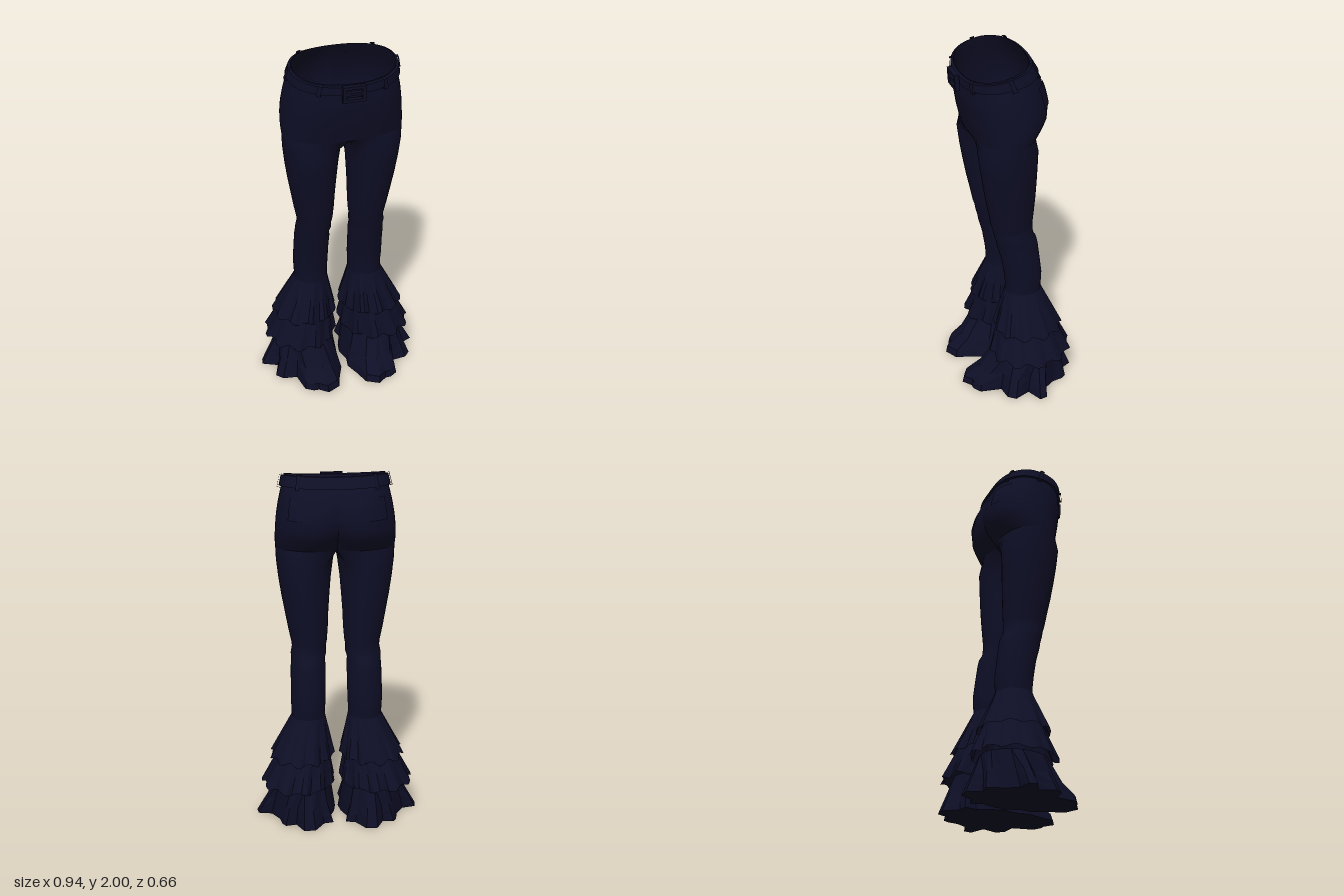
import * as THREE from 'three';

const navy = new THREE.MeshStandardMaterial({ color: 0x0e0e26, side: THREE.DoubleSide });
navy.name = 'navy cloth';

// Skin between rows of points (top row first, columns run front -> left -> back)
function loft(name, rows, { side = 1, closed = false, flat = false } = {}) {
  const n = rows[0].length, pos = [], idx = [];
  rows.forEach(r => r.forEach(p => pos.push(p[0] * side, p[1], p[2])));
  for (let i = 0; i < rows.length - 1; i++) {
    for (let j = 0; j < (closed ? n : n - 1); j++) {
      const k = (j + 1) % n;
      const a = i * n + j, b = i * n + k, c = a + n, d = b + n;
      if (side > 0) idx.push(a, c, b, b, c, d);
      else idx.push(a, b, c, b, d, c);
    }
  }
  let g = new THREE.BufferGeometry();
  g.setAttribute('position', new THREE.Float32BufferAttribute(pos, 3));
  g.setIndex(idx);
  if (flat) g = g.toNonIndexed();
  g.computeVertexNormals();
  const m = new THREE.Mesh(g, navy);
  m.name = name;
  return m;
}

const range = (n, a, b) => Array.from({ length: n + 1 }, (_, i) => a + (b - a) * i / n);

// Hips: y, half width, front z, back z, depth of the rear centre crease
const HIPS = [
  [2.0, .278, .262, -.09, 0], [1.95, .288, .262, -.12, 0], [1.9, .3, .265, -.15, .006],
  [1.83, .315, .268, -.18, .015], [1.75, .327, .262, -.197, .025], [1.68, .333, .25, -.19, .04],
  [1.62, .335, .235, -.15, .045], [1.58, .332, .225, -.118, .04],
];

// Point on the hip surface; angle 90 is the front centre, -90 the back centre
function hipPoint(y, deg, off = 0) {
  let i = 0;
  while (i < HIPS.length - 2 && y < HIPS[i + 1][0]) i++;
  const A = HIPS[i], B = HIPS[i + 1], t = (A[0] - y) / (A[0] - B[0]);
  const [, rx, zf, zb, crease] = A.map((v, k) => v + (B[k] - v) * t);
  const a = deg * Math.PI / 180, s = Math.sin(a), c = Math.max(0, Math.cos(a));
  const x = (rx + off) * Math.pow(c, .85);
  let z = (zf + zb) / 2 + ((zf - zb) / 2 + off) * Math.sign(s) * Math.pow(Math.abs(s), .9);
  if (s < 0) z += crease * Math.exp(-((x / .06) ** 2));
  // the waist dips toward the front
  const dip = .07 * Math.pow(Math.max(0, (z + .09) / .355), 1.5) * Math.max(0, (y - 1.75) / .25);
  return [x, y - dip, z];
}

const patch = (ys, angles, off) => ys.map(y => angles.map(a => hipPoint(y, a, off)));

// Legs: y, inner x, outer x, front z, back z
const LEGS = [
  [1.5, .012, .329, .217, -.113], [1.4, .025, .318, .205, -.11], [1.3, .033, .303, .19, -.108],
  [1.2, .04, .285, .173, -.105], [1.1, .044, .267, .153, -.1], [1.03, .05, .252, .14, -.096],
  [1.0, .056, .248, .13, -.097], [.96, .055, .256, .122, -.1], [.93, .064, .254, .113, -.118],
  [.89, .06, .258, .106, -.127], [.8, .062, .26, .082, -.138], [.7, .063, .262, .066, -.15],
  [.64, .066, .258, .06, -.148], [.59, .067, .258, .06, -.143],
];
const ARC = 28, INNER = 8;

function legRows() {
  const arc = range(ARC, 90, -90).map(a => hipPoint(1.58, a));
  const z0 = arc[0][2], z1 = arc[ARC][2];
  const crotch = range(INNER, z1, z0).slice(1, -1).map(z => [0, 1.58, z]);
  const angles = [...range(ARC, 140, -140), ...range(INNER, -140, -220).slice(1, -1)];
  const rings = LEGS.map(([y, xi, xo, zf, zb]) => angles.map(d => {
    const a = d * Math.PI / 180;
    return [(xi + xo) / 2 + (xo - xi) / 2 * Math.cos(a), y, (zf + zb) / 2 + (zf - zb) / 2 * Math.sin(a)];
  }));
  return [[...arc, ...crotch], ...rings];
}

// Ellipse point inside a box [x0, x1, front z, back z]
const inBox = ([x0, x1, zf, zb], a, r, y) =>
  [(x0 + x1) / 2 + (x1 - x0) / 2 * r * Math.cos(a), y, (zf + zb) / 2 + (zf - zb) / 2 * r * Math.sin(a)];

// Pleated tier with a zigzag, slightly wavy hem
function tierRows(yTop, top, yHem, hem, phase) {
  const n = 44, angles = range(n, Math.PI / 2, -Math.PI * 1.5).slice(0, n);
  const pleat = [1, 1, .91, .93];
  return [0, .5, 1].map(t => angles.map((a, j) => {
    const p = inBox(top, a, 1, yTop);
    const q = inBox(hem, a, pleat[(j + phase) % 4], yHem + .012 * Math.sin(j * 1.43 + phase));
    return p.map((v, k) => v + (q[k] - v) * t);
  }));
}

// Floor hem outline (x, z), front -> outer -> back -> inner
const HEM = [
  [.155, .33], [.205, .29], [.235, .29], [.28, .26], [.3, .14], [.38, .13], [.415, .09], [.38, 0],
  [.468, -.04], [.46, -.085], [.385, -.1], [.34, -.17], [.33, -.23], [.31, -.26], [.25, -.25],
  [.21, -.33], [.145, -.33], [.09, -.25], [.035, -.24], [.05, -.17], [.02, -.1], [.008, -.03],
  [.03, .05], [.02, .12], [.06, .22], [.08, .29],
];

function floorTierRows() {
  const top = HEM.map(([x, z]) => inBox([.04, .35, .13, -.245], Math.atan2(z + .02, x - .2), 1, .22));
  const row = (y, t, front) => HEM.map(([x, z], j) => {
    const p = top[j], k = z > .2 ? front : t;
    return [p[0] + (x - p[0]) * t, y, p[2] + (z - p[2]) * k];
  });
  // last row closes the underside
  return [top, row(.1, .54, .5), row(.04, .82, .95), row(0, 1, 1), HEM.map(() => [.2, 0, 0])];
}

export function createModel() {
  const group = new THREE.Group();
  group.name = 'flared trousers';

  for (const side of [1, -1]) {
    const label = side > 0 ? 'left' : 'right';
    const add = (part, rows, opts = {}) => group.add(loft(label + part, rows, { side, ...opts }));

    // Hips and leg
    add('Hip', patch(range(16, 2.0, 1.58), range(ARC, 90, -90), 0));
    add('Leg', legRows(), { closed: true });

    // Belt: a raised band with turned-in edges
    const angles = range(ARC, 90, -90);
    add('Belt', [[1.99, 0], [1.99, .014], [1.93, .014], [1.93, 0]]
      .map(([y, o]) => angles.map(a => hipPoint(y, a, o))), { flat: true });

    // Belt loops
    for (const a of [58, 0, -50]) {
      const across = range(2, a + 2.5, a - 2.5);
      add('BeltLoop', [[2.0, .005], [1.998, .022], [1.92, .022], [1.915, 0]]
        .map(([y, o]) => across.map(d => hipPoint(y, d, o))), { flat: true });
    }

    // Back pocket
    add('BackPocket', patch([1.88, 1.84, 1.8, 1.76], range(6, -38, -66), .006));

    // Ruffles
    add('UpperRuffle', tierRows(.6, [.066, .259, .062, -.146], .365, [.012, .388, .145, -.262], 0),
      { closed: true, flat: true });
    add('MiddleRuffle', tierRows(.4, [.045, .33, .11, -.22], .21, [.012, .437, .175, -.307], 2),
      { closed: true, flat: true });
    add('FloorRuffle', floorTierRows(), { closed: true, flat: true });
  }

  // Buckle frame on the front centre
  const frame = new THREE.Shape();
  frame.moveTo(-.065, -.045).lineTo(.06, -.045).lineTo(.06, .045).lineTo(-.065, .045);
  const hole = new THREE.Path();
  hole.moveTo(-.045, -.028).lineTo(-.045, .028).lineTo(.04, .028).lineTo(.04, -.028);
  frame.holes.push(hole);
  const buckle = new THREE.Mesh(
    new THREE.ExtrudeGeometry(frame, { depth: .025, bevelEnabled: false }), navy);
  buckle.name = 'beltBuckle';
  buckle.position.set(0, 1.888, .279);
  buckle.rotation.x = .05;
  group.add(buckle);

  const prong = new THREE.Mesh(new THREE.BoxGeometry(.1, .014, .03), navy);
  prong.name = 'bucklePin';
  prong.position.set(0, 1.888, .288);
  group.add(prong);

  return group;
}
